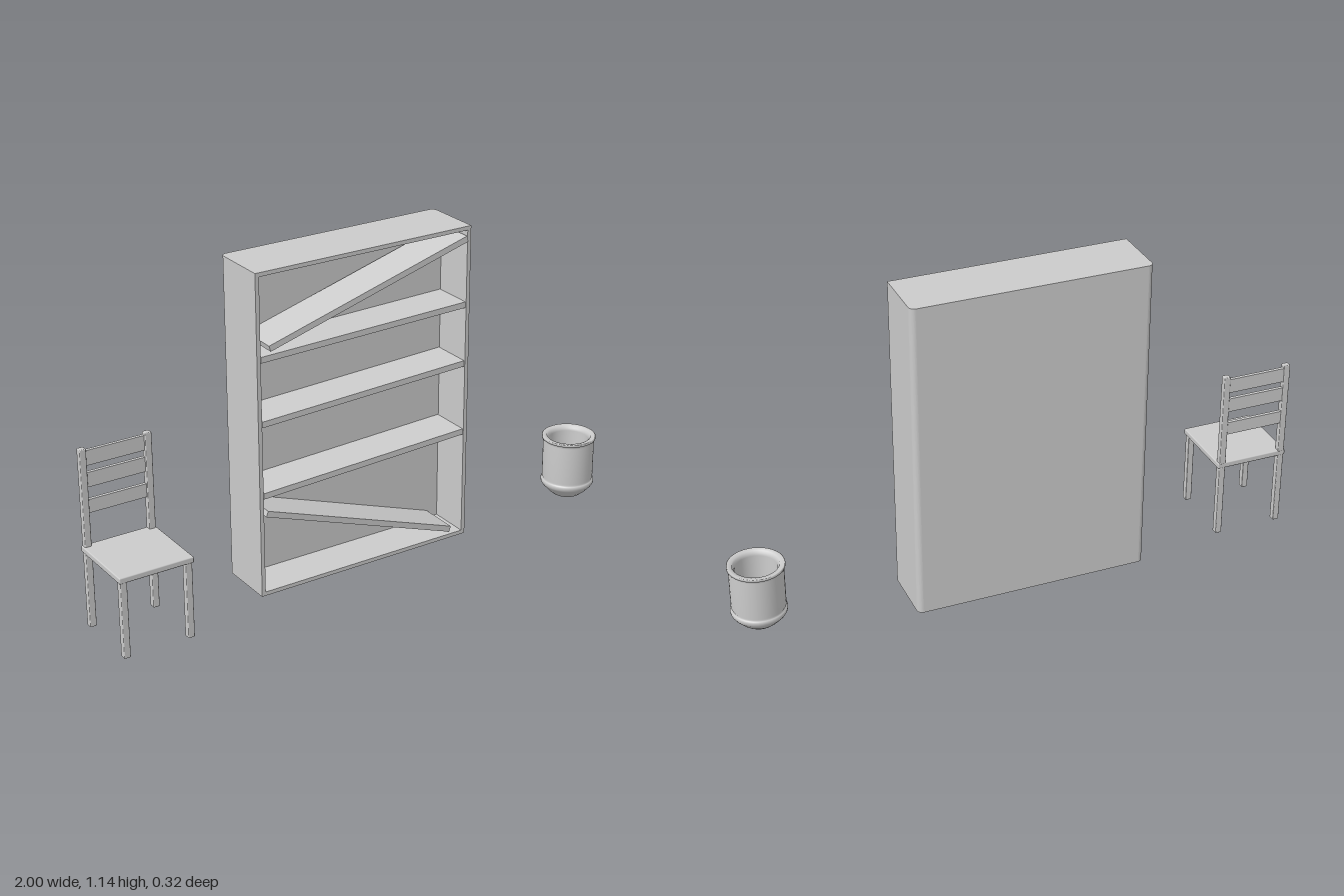
import * as THREE from 'three';
import { RoundedBoxGeometry } from 'three/addons/geometries/RoundedBoxGeometry.js';

const material = new THREE.MeshStandardMaterial({ color: 0xcccccc });

function addMesh(parent, name, geometry) {
  const mesh = new THREE.Mesh(geometry, material);
  mesh.name = name;
  parent.add(mesh);
  return mesh;
}

// Box given by its limits along each axis; a radius softens the edges
function addBox(parent, name, [x0, x1], [y0, y1], [z0, z1], radius = 0) {
  const size = [x1 - x0, y1 - y0, z1 - z0];
  const geometry = radius
    ? new RoundedBoxGeometry(...size, 2, radius)
    : new THREE.BoxGeometry(...size);
  const mesh = addMesh(parent, name, geometry);
  mesh.position.set((x0 + x1) / 2, (y0 + y1) / 2, (z0 + z1) / 2);
  return mesh;
}

function createBookcase() {
  const group = new THREE.Group();
  group.name = 'bookcase';
  const left = -0.43, right = 0.4, height = 1.14, wall = 0.014;
  const back = -0.16, inner = -0.095, front = 0.053, r = 0.02;

  // Thick back with rounded upright corners, drawn in plan and extruded upwards
  const plan = new THREE.Shape();
  plan.moveTo(left, -inner);
  plan.lineTo(right, -inner);
  plan.lineTo(right, -back - r);
  plan.absarc(right - r, -back - r, r, 0, Math.PI / 2);
  plan.absarc(left + r, -back - r, r, Math.PI / 2, Math.PI);
  plan.closePath();
  const panel = new THREE.ExtrudeGeometry(plan, { depth: height, bevelEnabled: false, curveSegments: 6 });
  panel.rotateX(-Math.PI / 2);
  addMesh(group, 'backPanel', panel);

  // Frame boards
  const depth = [inner, front];
  addBox(group, 'rightSide', [left, left + wall], [0, height], depth);
  addBox(group, 'leftSide', [right - wall, right], [0, height], depth);
  addBox(group, 'bottomBoard', [left + wall, right - wall], [0, wall], depth);
  addBox(group, 'topBoard', [left + wall, right - wall], [height - wall, height], depth);

  // Slipped shelves: both end points of the centre line, then a slight turn outwards
  const shelves = [
    [-0.38, 0.877, 0.381, 1.1, 0.013],
    [-0.414, 0.845, 0.384, 0.863, 0],
    [-0.414, 0.621, 0.384, 0.65, 0],
    [-0.414, 0.366, 0.384, 0.396, 0],
    [-0.403, 0.299, 0.338, 0.032, 0],
  ];
  for (const [x0, y0, x1, y1, turn] of shelves) {
    const length = Math.hypot(x1 - x0, y1 - y0);
    const shelf = addMesh(group, 'shelf', new THREE.BoxGeometry(length, 0.021, 0.146));
    shelf.position.set((x0 + x1) / 2, (y0 + y1) / 2, turn ? -0.016 : -0.021);
    shelf.rotation.set(0, -turn, Math.atan2(y1 - y0, x1 - x0));
  }
  return group;
}

function createChair() {
  const group = new THREE.Group();
  group.name = 'chair';
  addBox(group, 'seat', [-1, -0.737], [0.269, 0.29], [-0.104, 0.16], 0.004);
  for (const x of [[-0.995, -0.972], [-0.765, -0.742]]) {
    addBox(group, 'frontLeg', x, [0, 0.272], [0.132, 0.156], 0.003);
    addBox(group, 'backLeg', x, [0, 0.272], [-0.104, -0.08], 0.003);
    addBox(group, 'backPost', x, [0.286, 0.63], [-0.105, -0.082], 0.003);
  }
  // Back slats
  for (const y of [[0.403, 0.45], [0.493, 0.544], [0.568, 0.62]]) {
    addBox(group, 'backSlat', [-0.975, -0.762], y, [-0.103, -0.091]);
  }
  return group;
}

function createPot() {
  // Outer wall from the base up over the lip, then down the inside to the floor
  const profile = [
    [0, 0], [0.04, 0], [0.052, 0.005], [0.07, 0.02], [0.09, 0.042], [0.095, 0.05],
    [0.096, 0.059], [0.093, 0.064], [0.089, 0.067], [0.092, 0.073], [0.092, 0.215],
    [0.089, 0.221], [0.097, 0.224], [0.097, 0.231], [0.094, 0.233], [0.079, 0.231],
    [0.077, 0.222], [0.071, 0.215], [0.071, 0.06], [0.06, 0.04], [0, 0.036],
  ].map(([x, y]) => new THREE.Vector2(x, y));
  const group = new THREE.Group();
  group.name = 'pot';
  addMesh(group, 'potBody', new THREE.LatheGeometry(profile, 40));
  group.position.x = 0.903;
  return group;
}

export function createModel() {
  const model = new THREE.Group();
  model.name = 'furnitureSet';
  model.add(createBookcase(), createChair(), createPot());
  return model;
}
